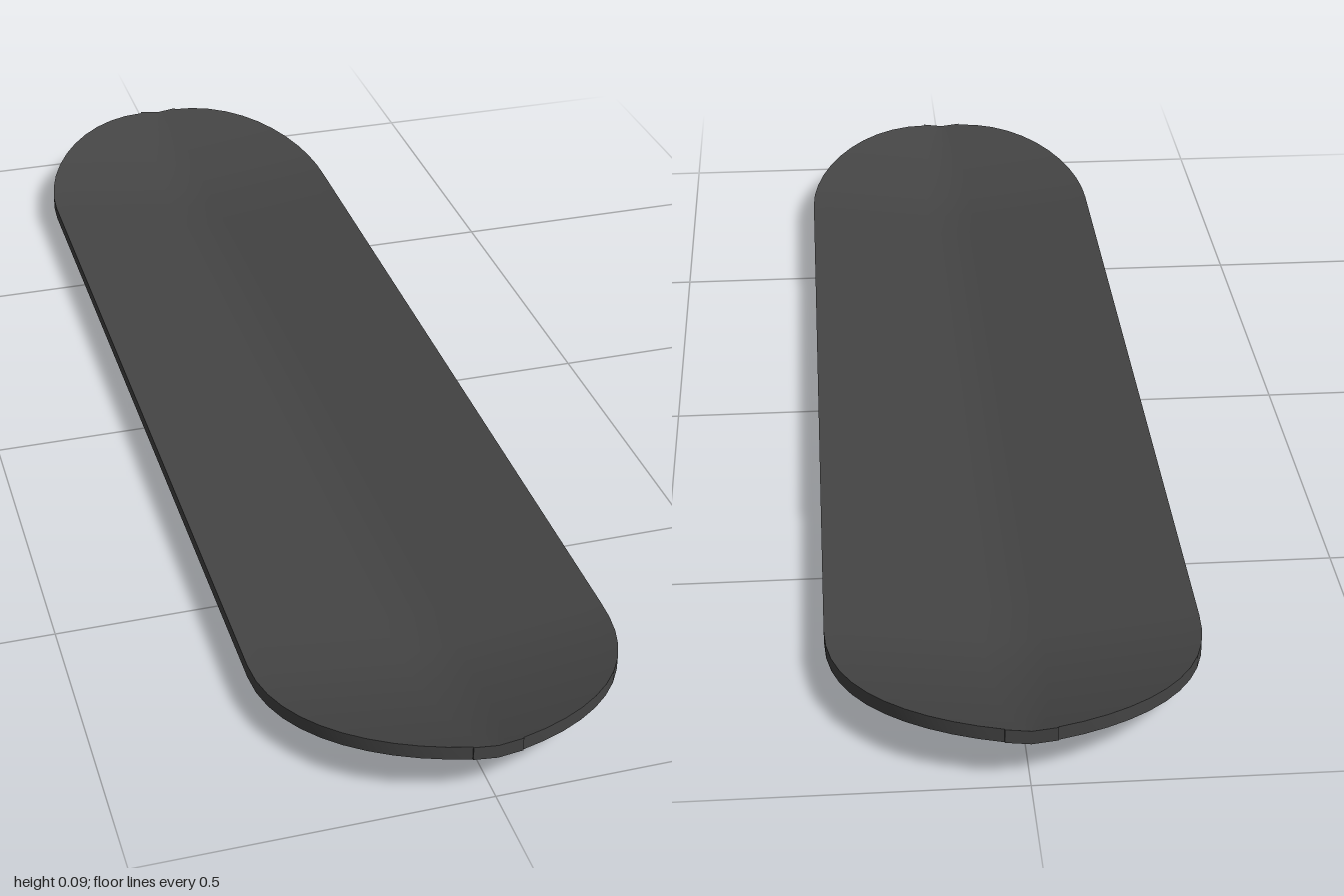
import * as THREE from 'three';
import { toCreasedNormals } from 'three/addons/utils/BufferGeometryUtils.js';

const HALF_WIDTH = 0.265, THICKNESS = 0.021, CONCAVE = 0.033;
const KICK_START = 0.71, PAD_HEIGHT = 0.011, PAD_FROM = 0.43, PAD_TO = 0.625;

// Plan outline: straight sides with elliptical ends
function halfWidth(z) {
  const t = Math.max(0, (Math.abs(z) - KICK_START) / (1 - KICK_START));
  return Math.max(0.035, HALF_WIDTH * Math.sqrt(Math.max(0, 1 - t * t)));
}

// Upward sweep of the nose and tail
function kick(z) {
  const t = Math.max(0, (Math.abs(z) - KICK_START) / (1 - KICK_START));
  return 0.068 * Math.pow(t, 1.6);
}

// Lengthwise stations; doubled at the pad ends so the steps stay vertical
function stations() {
  const half = [[0, false], [PAD_FROM, false], [PAD_FROM, true], [PAD_TO, true], [PAD_TO, false]];
  for (let i = 0; i <= 12; i++) {
    half.push([KICK_START + (1 - KICK_START) * Math.sin(i / 12 * Math.PI / 2), false]);
  }
  return [...half.slice(1).reverse().map(([z, pad]) => [-z, pad]), ...half];
}

function deckGeometry() {
  const columns = [-1, -0.9, -0.75, -0.55, -1 / 3, -0.16, 0, 0.16, 1 / 3, 0.55, 0.75, 0.9, 1];
  const n = columns.length, ring = 2 * n;
  const rows = stations();
  const positions = [], index = [];

  // Each ring: top left to right, then underside right to left
  for (const [z, pad] of rows) {
    const w = halfWidth(z), lift = kick(z);
    const base = (x) => CONCAVE * Math.abs(x) / HALF_WIDTH + lift;
    for (const u of columns) positions.push(u * w, base(u * w) + THICKNESS, z);
    for (const u of [...columns].reverse()) {
      const y = base(u * w);
      positions.push(u * w, pad ? Math.max(y, PAD_HEIGHT) : y, z);
    }
  }

  // Skin between neighbouring rings
  for (let i = 0; i < rows.length - 1; i++) {
    for (let j = 0; j < ring; j++) {
      const a = i * ring + j, b = i * ring + (j + 1) % ring;
      index.push(a, a + ring, b, b, a + ring, b + ring);
    }
  }

  // Caps at the two tips
  const last = (rows.length - 1) * ring;
  for (let k = 0; k < n - 1; k++) {
    const t0 = k, t1 = k + 1, b0 = ring - 1 - k, b1 = ring - 2 - k;
    index.push(last + t0, last + b0, last + b1, last + t0, last + b1, last + t1);
    index.push(t0, b1, b0, t0, t1, b1);
  }

  const geometry = new THREE.BufferGeometry();
  geometry.setAttribute('position', new THREE.Float32BufferAttribute(positions, 3));
  geometry.setIndex(index);
  return toCreasedNormals(geometry, Math.PI / 5);
}

export function createModel() {
  const group = new THREE.Group();
  group.name = 'skateboardDeck';
  const deck = new THREE.Mesh(deckGeometry(), new THREE.MeshStandardMaterial({ color: 0x444444 }));
  deck.name = 'deck';
  group.add(deck);
  return group;
}
